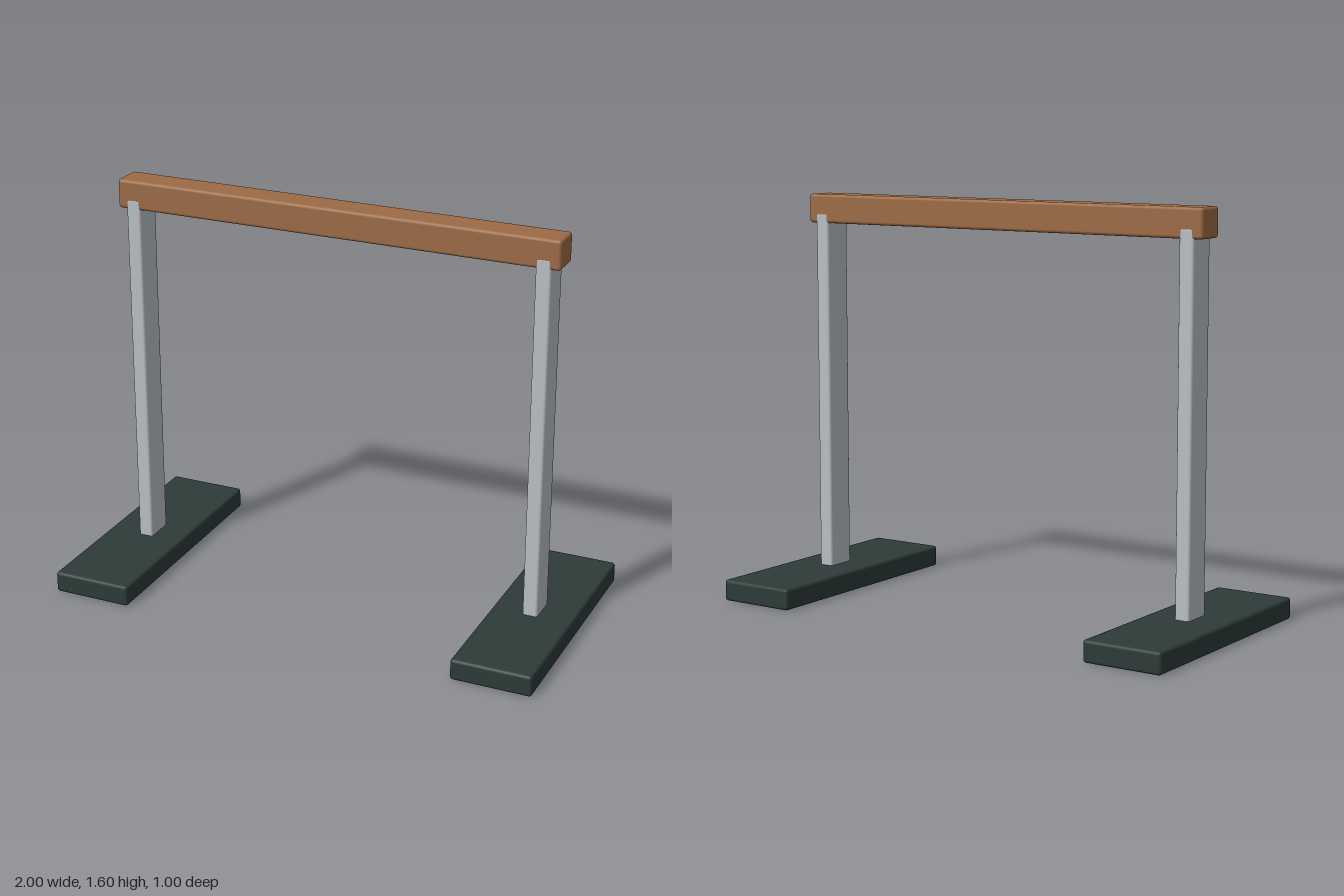
import * as THREE from 'three';
import { RoundedBoxGeometry } from 'three/addons/geometries/RoundedBoxGeometry.js';

function paint(name, color) {
  const material = new THREE.MeshStandardMaterial({ color });
  material.name = name;
  return material;
}

export function createModel() {
  const model = new THREE.Group();
  model.name = 'hurdle';
  const wood = paint('brown wood', 0x9c6b45);
  const metal = paint('light grey metal', 0xb9bfc3);
  const rubber = paint('dark green rubber', 0x2d3b39);

  // Soft-edged box centred on x and z, standing at height y
  function block(name, material, [w, h, d], x, y, radius) {
    const mesh = new THREE.Mesh(new RoundedBoxGeometry(w, h, d, 2, radius), material);
    mesh.name = name;
    mesh.position.set(x, y + h / 2, 0);
    model.add(mesh);
  }

  // Top rail
  block('crossbar', wood, [1.8, 0.115, 0.124], 0, 1.485, 0.012);

  // Upright and long flat foot on each side
  for (const [side, s] of [['left', 1], ['right', -1]]) {
    block(side + 'Post', metal, [0.06, 1.522, 0.126], s * 0.835, 0.003, 0.01);
    block(side + 'Foot', rubber, [0.32, 0.085, 1], s * 0.84, 0, 0.012);
  }
  return model;
}
